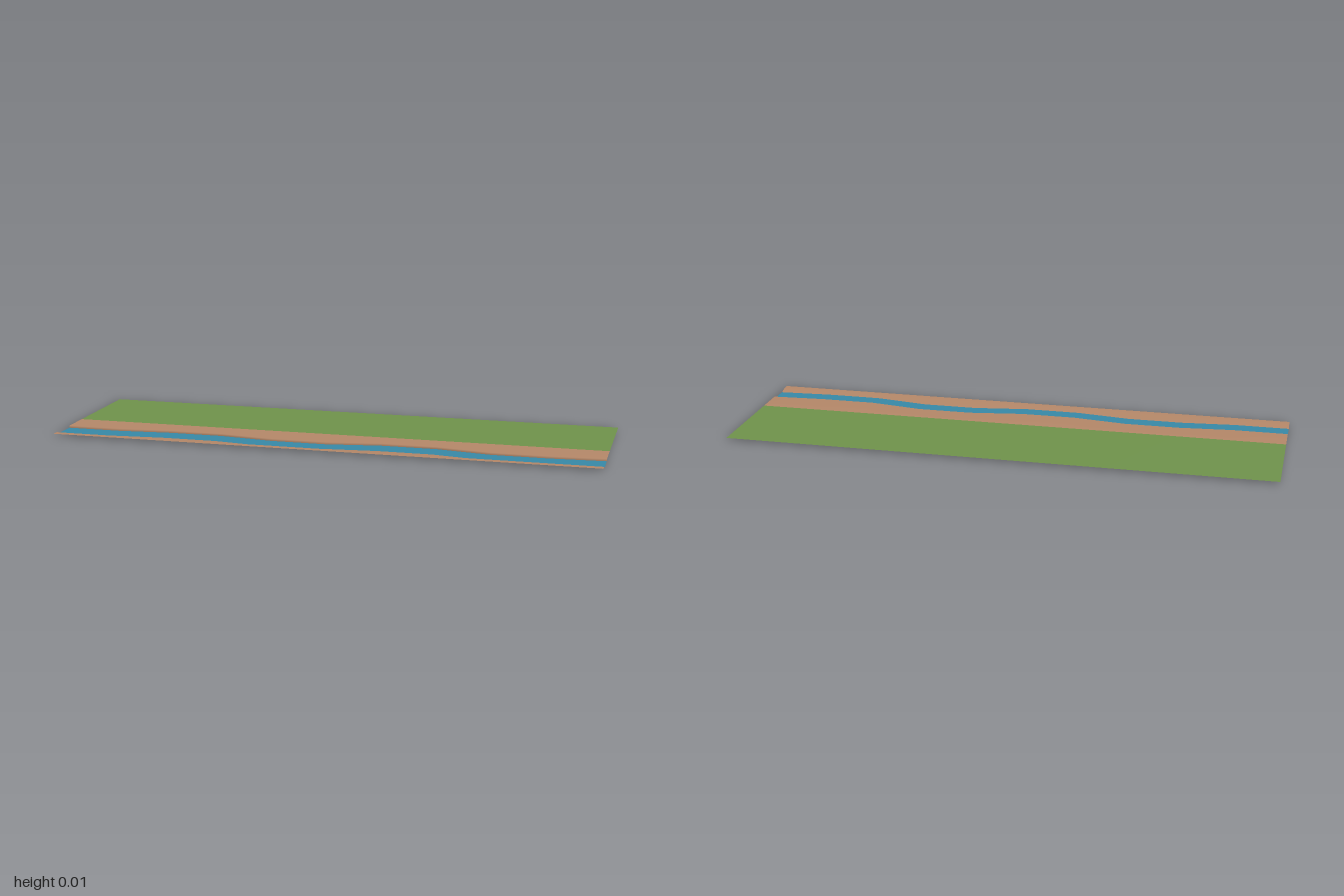
import * as THREE from 'three';

const TOP = 0.008;      // bank height above the water
const HALF = 0.3125;    // half depth of the tile
const GRASS_EDGE = 0.0625;
const SLOPE_TOP = 0.286;
const RIVER_WIDTH = 0.081;

// Back shoreline, one z value every 0.2 along x
const shore = [0.175, 0.175, 0.157, 0.157, 0.184, 0.184, 0.154, 0.154, 0.187, 0.187, 0.175];

// Joins cross-section rows of [y, z], ordered back to front, into a sheet along x
function strip(name, color, section) {
  const pos = [], index = [];
  const n = section(0).length;
  shore.forEach((z, i) => {
    for (const [y, pz] of section(z)) pos.push(-1 + 0.2 * i, y, pz);
    if (i === 0) return;
    for (let j = 0; j < n - 1; j++) {
      const a = (i - 1) * n + j, b = i * n + j;
      index.push(a, a + 1, b, b, a + 1, b + 1);
    }
  });
  const geometry = new THREE.BufferGeometry();
  geometry.setAttribute('position', new THREE.Float32BufferAttribute(pos, 3));
  geometry.setIndex(index);
  geometry.computeVertexNormals();
  const mesh = new THREE.Mesh(geometry,
    new THREE.MeshStandardMaterial({ color, side: THREE.DoubleSide }));
  mesh.name = name;
  return mesh;
}

export function createModel() {
  const group = new THREE.Group();
  group.name = 'riverbankTile';
  group.add(
    // Flat meadow
    strip('grass', 0x6f924b, () => [[TOP, -HALF], [TOP, GRASS_EDGE]]),
    // Flat sand ending in a steep drop to the water
    strip('backBank', 0xb48768, z => [[TOP, GRASS_EDGE], [TOP, z], [0, z + 0.001]]),
    // Water surface
    strip('river', 0x3788a6, z => [[0, z + 0.001], [0, z + RIVER_WIDTH]]),
    // Gentle rise from the water to the front edge
    strip('frontBank', 0xb48768, z => [[0, z + RIVER_WIDTH], [TOP, SLOPE_TOP], [TOP, HALF]])
  );
  return group;
}
